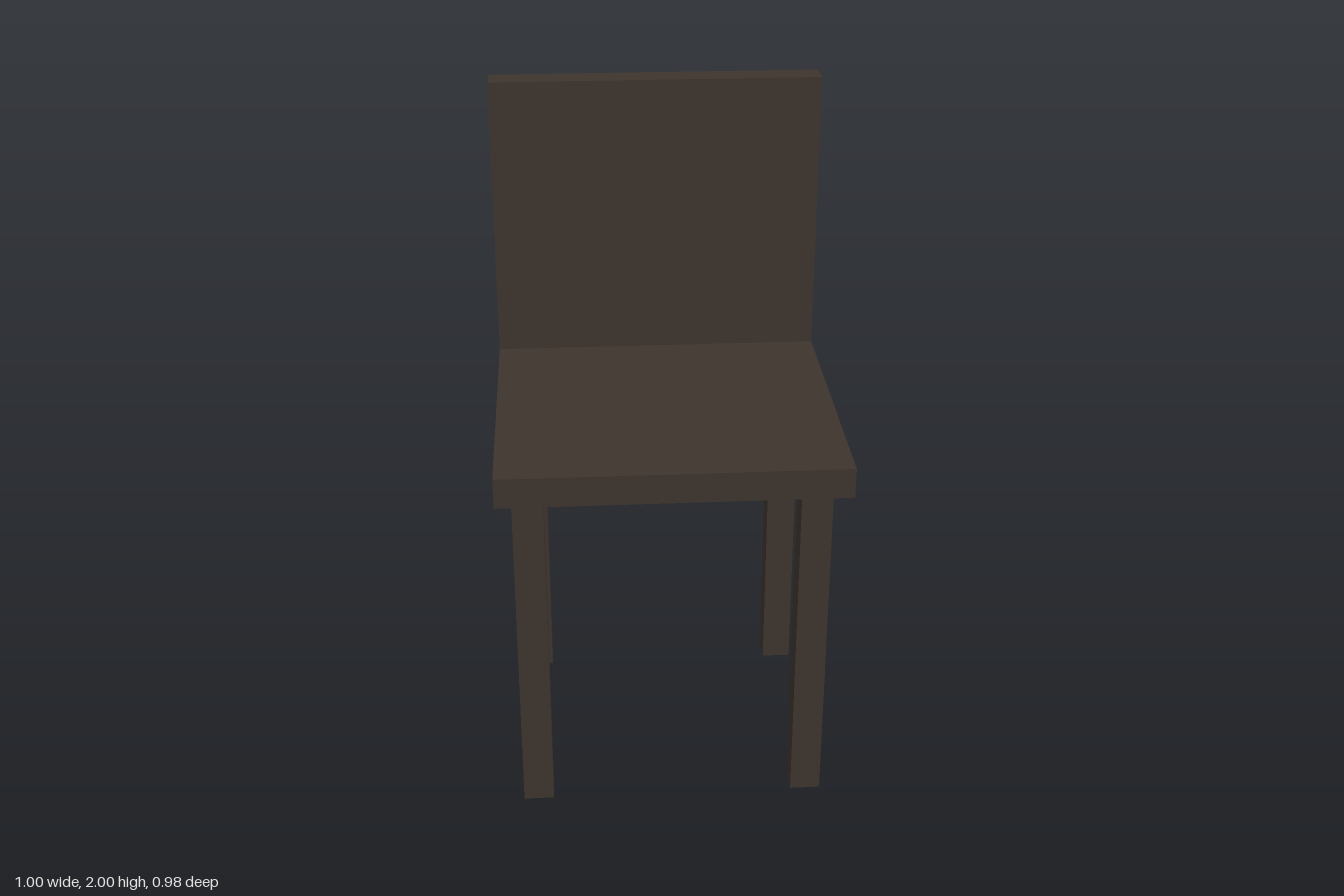
import * as THREE from 'three';

export function createModel() {
  const chair = new THREE.Group();
  chair.name = 'chair';
  const darkWood = new THREE.MeshStandardMaterial({ color: 0x3d342d });
  darkWood.name = 'darkWood';

  // Box given by its lower and upper corners
  const addBox = (name, [x0, y0, z0], [x1, y1, z1]) => {
    const mesh = new THREE.Mesh(new THREE.BoxGeometry(x1 - x0, y1 - y0, z1 - z0), darkWood);
    mesh.position.set((x0 + x1) / 2, (y0 + y1) / 2, (z0 + z1) / 2);
    mesh.name = name;
    chair.add(mesh);
  };

  // Seat slab and upright back panel, which overhangs the seat's rear edge
  addBox('seat', [-0.5, 1.05, -0.465], [0.5, 1.14, 0.49]);
  addBox('backrest', [-0.5, 1.095, -0.49], [0.5, 2, -0.4]);

  // Four square legs
  const thick = 0.09;
  for (const [side, x] of [['Right', -0.455], ['Left', 0.362]]) {
    for (const [end, z] of [['front', 0.333], ['back', -0.394]]) {
      addBox(`${end}${side}Leg`, [x, 0, z], [x + thick, 1.05, z + thick]);
    }
  }
  return chair;
}
